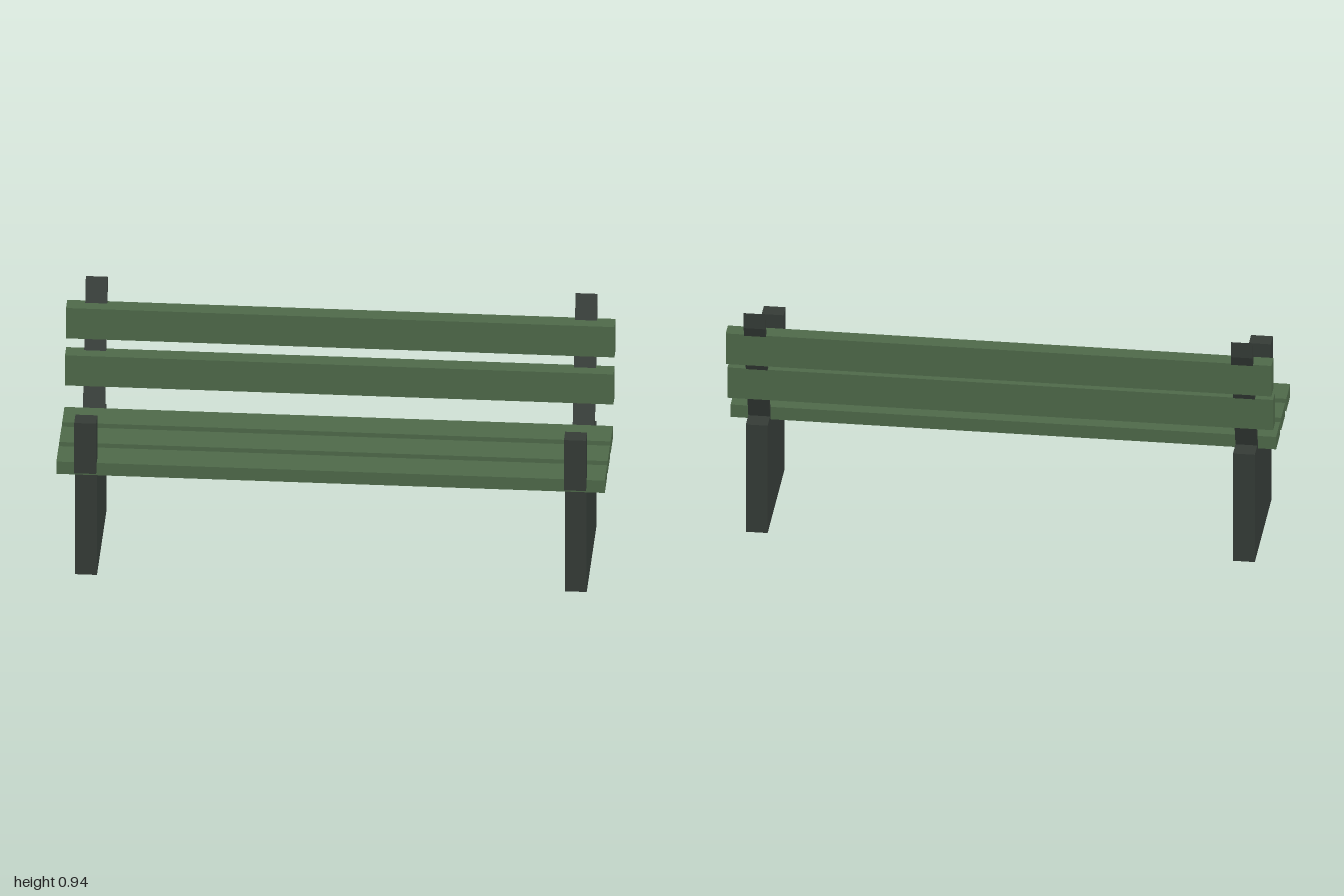
import * as THREE from 'three';

export function createModel() {
  const bench = new THREE.Group();
  bench.name = 'bench';
  const slatGreen = new THREE.MeshStandardMaterial({ color: 0x4f6a4a });
  slatGreen.name = 'slat green';
  const frameGrey = new THREE.MeshStandardMaterial({ color: 0x353c37 });
  frameGrey.name = 'frame grey';

  const add = (name, geometry, material) => {
    const mesh = new THREE.Mesh(geometry, material);
    mesh.name = name;
    bench.add(mesh);
    return mesh;
  };

  // Box given by its centre x, width and its y and z ranges
  const box = (name, material, x, width, y0, y1, z0, z1) =>
    add(name, new THREE.BoxGeometry(width, y1 - y0, z1 - z0), material)
      .position.set(x, (y0 + y1) / 2, (z0 + z1) / 2);

  // Seat slats
  for (const z of [0.21, 0.063, -0.085]) {
    box('seatSlat', slatGreen, 0, 2, 0.423, 0.474, z - 0.058, z + 0.058);
  }

  // Backrest slats, stepped back with the lean
  box('lowerBackSlat', slatGreen, 0, 2, 0.549, 0.674, -0.231, -0.169);
  box('upperBackSlat', slatGreen, 0, 2, 0.716, 0.842, -0.283, -0.221);

  // Leaning back support, drawn as (-z, y) and extruded across x
  const supportShape = new THREE.Shape([
    [0.14, 0.443], [0.159, 0.443], [0.295, 0.875], [0.295, 0.937],
  ].map(([z, y]) => new THREE.Vector2(z, y)));
  const supportGeometry = new THREE.ExtrudeGeometry(supportShape, { depth: 0.08, bevelEnabled: false });
  supportGeometry.translate(0, 0, -0.04).rotateY(Math.PI / 2);

  // End frames: leg panel, front post and back support
  for (const [side, x] of [['right', -0.893], ['left', 0.893]]) {
    box(side + 'Leg', frameGrey, x, 0.08, 0, 0.443, -0.231, 0.253);
    box(side + 'FrontPost', frameGrey, x, 0.08, 0.443, 0.652, 0.232, 0.295);
    add(side + 'BackSupport', supportGeometry, frameGrey).position.x = x;
  }
  return bench;
}
